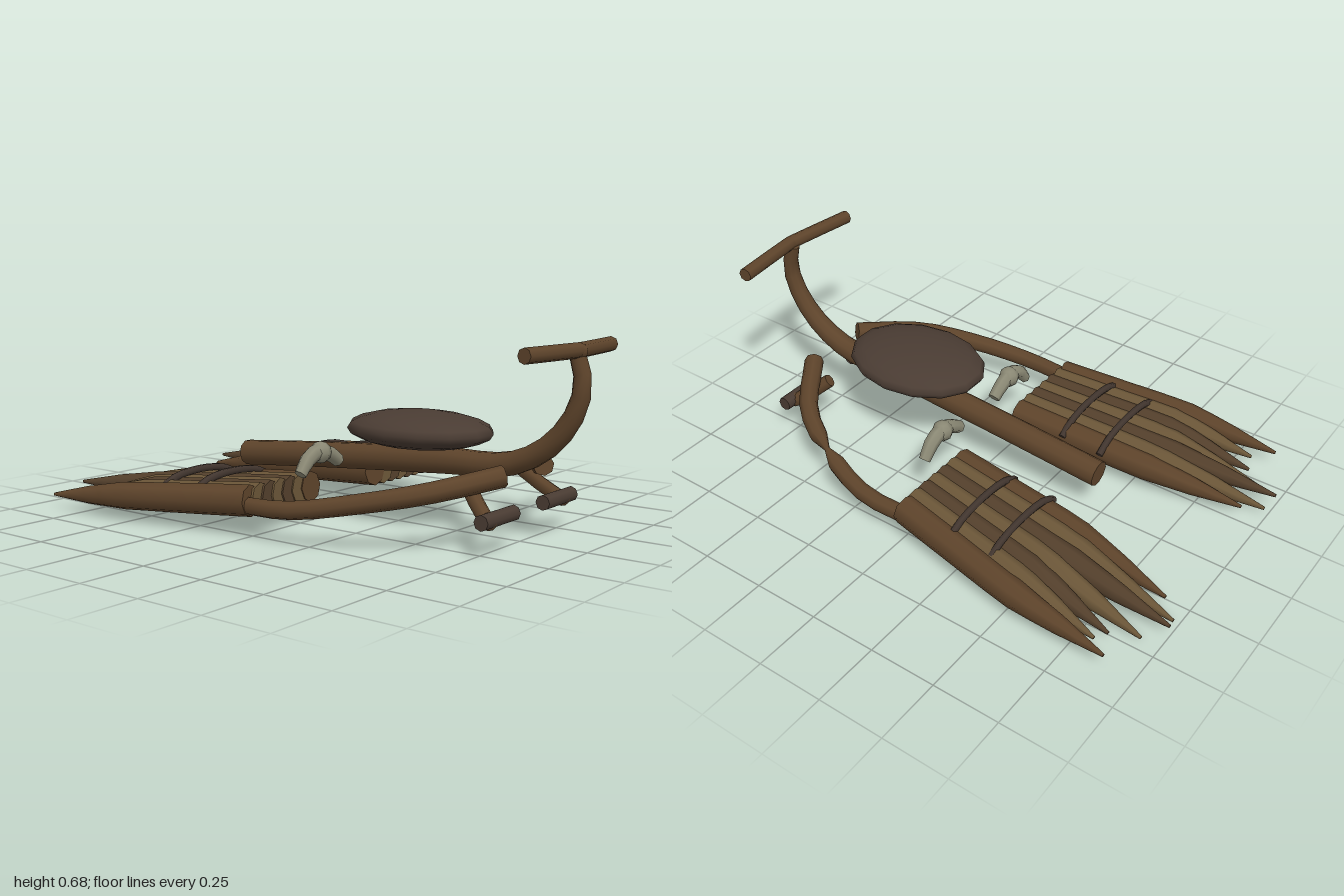
import * as THREE from 'three';
import { mergeGeometries } from 'three/addons/utils/BufferGeometryUtils.js';

const mat = (color) => new THREE.MeshStandardMaterial({ color, roughness: 0.9 });
const wood = mat(0x5e442b), lightWood = mat(0x6b5638), darkWood = mat(0x54402c);
const hide = mat(0x4a3c33), strap = mat(0x42362f), bone = mat(0x8a8874);

const V = (p) => new THREE.Vector3(...p);

// Capped tube along a smooth path; the radii are spread evenly along its length
function taperTube(points, radii, segments, sides) {
  const curve = new THREE.CatmullRomCurve3(points.map(V));
  const tube = new THREE.TubeGeometry(curve, segments, 1, sides, false);
  const pos = tube.attributes.position, ring = sides + 1;
  const v = new THREE.Vector3();
  for (let i = 0; i <= segments; i++) {
    const c = curve.getPointAt(i / segments);
    const t = (i / segments) * (radii.length - 1);
    const k = Math.min(Math.floor(t), radii.length - 2);
    const r = THREE.MathUtils.lerp(radii[k], radii[k + 1], t - k);
    for (let j = 0; j < ring; j++) {
      v.fromBufferAttribute(pos, i * ring + j).sub(c).multiplyScalar(r).add(c);
      pos.setXYZ(i * ring + j, v.x, v.y, v.z);
    }
  }
  const corners = [];
  for (const end of [0, 1]) {
    const c = curve.getPointAt(end), base = end * segments * ring;
    for (let j = 0; j < sides; j++) {
      const a = v.clone().fromBufferAttribute(pos, base + j + end);
      const b = v.clone().fromBufferAttribute(pos, base + j + 1 - end);
      corners.push(c, a, b);
    }
  }
  const caps = new THREE.BufferGeometry().setFromPoints(corners);
  caps.computeVertexNormals();
  tube.deleteAttribute('uv');
  return mergeGeometries([tube.toNonIndexed(), caps]);
}

function add(parent, name, geometry, material) {
  const mesh = new THREE.Mesh(geometry, material);
  mesh.name = name;
  parent.add(mesh);
  return mesh;
}

// One bundle of pointed rods with two straps; s is the sign of x
function rodBundle(s) {
  const g = new THREE.Group();
  g.name = 'rodBundle';
  // x, y, z of each tip, from the inner rod to the outer one
  const tips = [
    [0.28, 0.05, -0.92], [0.342, 0.03, -0.985], [0.397, 0.06, -1.0], [0.455, 0.014, -0.93],
    [0.513, 0.03, -0.84], [0.57, 0.045, -0.82], [0.628, 0.06, -0.89],
  ];
  tips.forEach(([tx, ty, tz], i) => {
    const x0 = 0.19 + i * 0.053, x1 = 0.228 + i * 0.062;
    const start = [s * x0, 0.132, 0], mid = [s * x1, 0.096, -0.53], tip = [s * tx, ty, tz];
    const at = (a, b, t) => a.map((n, k) => n + (b[k] - n) * t);
    const path = [start, at(start, mid, 0.5), mid, at(mid, tip, 0.5), tip];
    const outer = i === 0 || i === 6;
    add(g, 'rod', taperTube(path, [0.056, 0.055, 0.053, 0.05, 0.033, 0.006], 10, 8),
      outer ? wood : i % 2 ? lightWood : darkWood);
  });
  for (const z of [-0.225, -0.39]) {
    const drop = (z + 0.225) * 0.07;
    const path = [[0.155, 0.135], [0.22, 0.172], [0.36, 0.188], [0.49, 0.172], [0.56, 0.135]]
      .map(([x, y]) => [s * x, y + drop, z]);
    add(g, 'strap', taperTube(path, [0.014, 0.014], 10, 6), strap);
  }
  return g;
}

// Everything that hangs on one side of the frame
function side(s) {
  const g = new THREE.Group();
  g.name = s > 0 ? 'leftSide' : 'rightSide';
  const mx = (pts) => pts.map(([x, y, z]) => [s * x, y, z]);

  g.add(rodBundle(s));

  // Curved arm from bundle to pedal, with a twist-thin spot on the left one
  const armRadii = Array.from({ length: 13 }, (_, i) => 0.03 + 0.0006 * i);
  if (s > 0) armRadii[6] = 0.01;
  add(g, 'sideArm', taperTube(mx([
    [0.52, 0.115, -0.05], [0.522, 0.125, 0.18], [0.45, 0.165, 0.41],
    [0.34, 0.205, 0.6], [0.13, 0.25, 0.76],
  ]), armRadii, 12, 8), wood);

  // Pedal on its stalk
  add(g, 'pedalStalk', taperTube(mx([[0.17, 0.225, 0.645], [0.205, 0.17, 0.705], [0.24, 0.12, 0.77]]),
    [0.026, 0.026], 2, 8), wood);
  const knob = add(g, 'pedalKnob', new THREE.SphereGeometry(0.03, 8, 6), wood);
  knob.position.set(s * 0.24, 0.122, 0.775);
  const pedal = add(g, 'pedal', new THREE.CylinderGeometry(0.027, 0.027, 0.2, 8), hide);
  pedal.rotation.z = Math.PI / 2;
  pedal.position.set(s * 0.195, 0.127, 0.78);

  // Arched bone link with a knuckle
  add(g, 'boneLink', taperTube(mx([
    [0.11, 0.222, 0.06], [0.155, 0.252, 0.06], [0.21, 0.27, 0.06],
    [0.27, 0.255, 0.06], [0.32, 0.2, 0.06],
  ]), [0.024, 0.028, 0.03, 0.028, 0.022], 8, 7), bone);
  const knuckle = add(g, 'boneKnuckle', new THREE.SphereGeometry(0.04, 8, 6), bone);
  knuckle.position.set(s * 0.21, 0.265, 0.06);
  return g;
}

export function createModel() {
  const model = new THREE.Group();
  model.name = 'rodVehicle';

  // Main beam sweeping up into the steering post
  add(model, 'mainBeam', taperTube([
    [0, 0.18, -0.48], [0, 0.22, 0], [0, 0.25, 0.45], [0, 0.265, 0.7],
    [0, 0.335, 0.845], [0, 0.44, 0.935], [0, 0.55, 0.968], [0, 0.65, 0.945],
  ], [0.049, 0.049, 0.049, 0.048, 0.044, 0.036, 0.027], 24, 10), wood);

  // Handlebar, slightly swept back on both sides
  for (const s of [-1, 1]) {
    add(model, 'handlebar', taperTube([[0, 0.66, 0.953], [s * 0.145, 0.66, 0.936], [s * 0.287, 0.66, 0.918]],
      [0.026, 0.026], 2, 8), wood);
  }
  const joint = add(model, 'handlebarJoint', new THREE.SphereGeometry(0.027, 8, 6), wood);
  joint.position.set(0, 0.657, 0.955);

  // Padded seat
  const seat = add(model, 'seat', new THREE.SphereGeometry(1, 14, 10), hide);
  seat.scale.set(0.21, 0.067, 0.282);
  seat.position.set(0, 0.35, 0.338);

  for (const s of [-1, 1]) model.add(side(s));
  return model;
}
